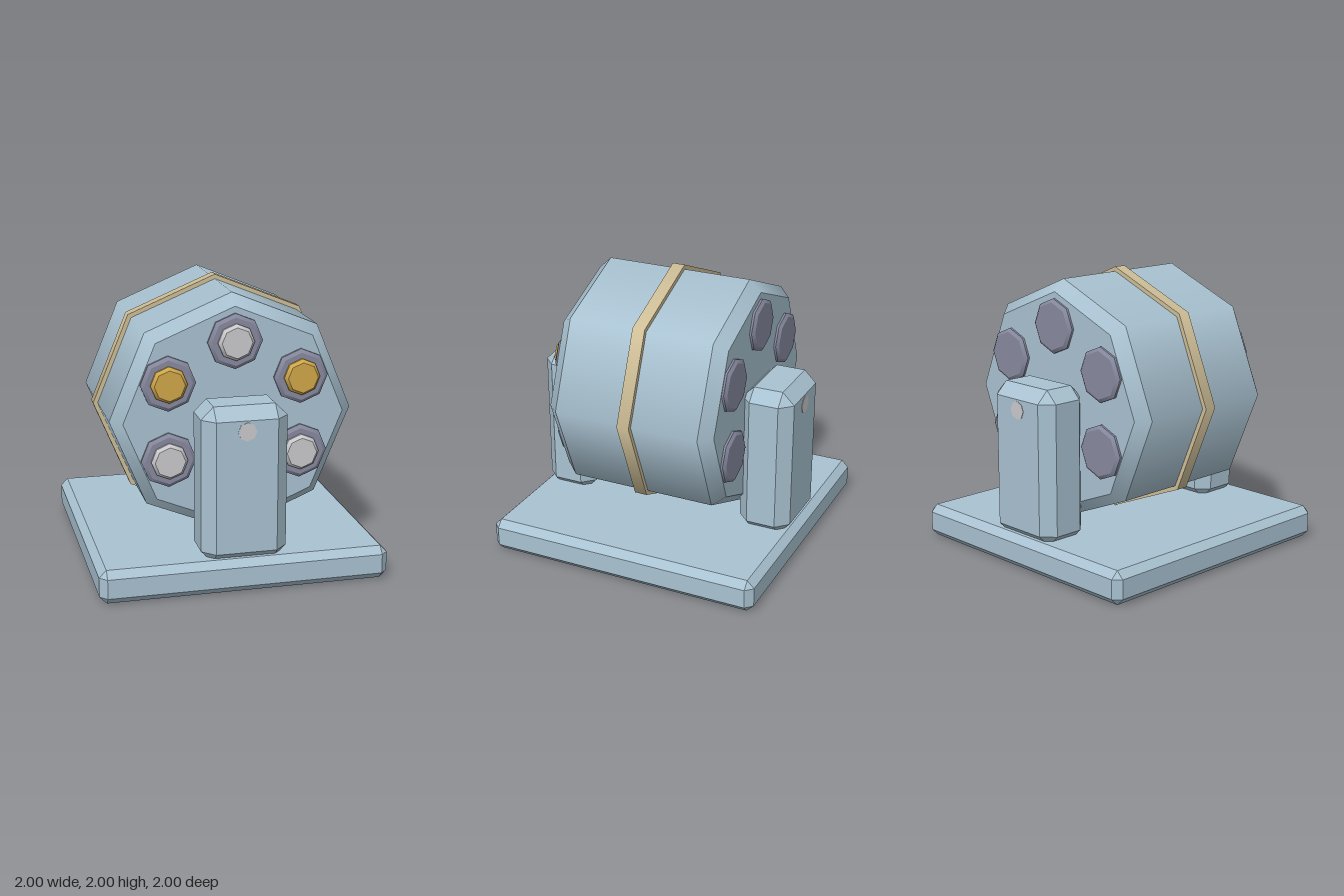
import * as THREE from 'three';
import { ConvexGeometry } from 'three/addons/geometries/ConvexGeometry.js';

const material = (name, color) => {
  const m = new THREE.MeshStandardMaterial({ color });
  m.name = name;
  return m;
};

// Box with every edge cut at 45 degrees, centred on its own origin
function chamferBox(w, h, d, c) {
  const [x, y, z] = [w / 2, h / 2, d / 2];
  const points = [];
  for (const sx of [-1, 1]) for (const sy of [-1, 1]) for (const sz of [-1, 1]) {
    points.push(
      new THREE.Vector3(sx * x, sy * (y - c), sz * (z - c)),
      new THREE.Vector3(sx * (x - c), sy * y, sz * (z - c)),
      new THREE.Vector3(sx * (x - c), sy * (y - c), sz * z));
  }
  return new ConvexGeometry(points);
}

export function createModel() {
  const body = material('paleBlue', 0xa9c2d1);
  const band = material('tan', 0xcfbf98);
  const tube = material('slatePurple', 0x888aa0);
  const silver = material('lightGrey', 0xcacacd);
  const gold = material('gold', 0xd0a84a);

  const model = new THREE.Group();
  model.name = 'rotatingDrum';

  const add = (parent, name, geometry, mat, x = 0, y = 0, z = 0) => {
    const mesh = new THREE.Mesh(geometry, mat);
    mesh.name = name;
    mesh.position.set(x, y, z);
    parent.add(mesh);
    return mesh;
  };

  // Eight-sided section along z, from (z0, r0) to (z1, r1)
  const section = (parent, name, mat, z0, r0, z1, r1, open = false) =>
    add(parent, name,
      new THREE.CylinderGeometry(r1, r0, z1 - z0, 8, 1, open).rotateX(Math.PI / 2),
      mat, 0, 0, (z0 + z1) / 2);

  // Base plate
  add(model, 'base', chamferBox(2, 0.235, 2, 0.05), body, 0, 0.1175, 0);

  // Support posts, front and back
  for (const s of [1, -1]) {
    add(model, s > 0 ? 'frontPost' : 'backPost',
      chamferBox(0.59, 1.09, 0.38, 0.085), body, 0, 0.735, s * 0.772);
  }

  // Drum with bevelled ends, band and axle
  const drum = new THREE.Group();
  drum.name = 'drum';
  drum.position.y = 1.12;
  model.add(drum);
  section(drum, 'drumWall', body, -0.53, 0.845, 0.53, 0.845, true);
  section(drum, 'frontBevel', body, 0.53, 0.845, 0.615, 0.765);
  section(drum, 'backBevel', body, -0.615, 0.765, -0.53, 0.845);
  section(drum, 'band', band, -0.045, 0.877, 0.045, 0.877);
  section(drum, 'axle', silver, -0.965, 0.064, 0.965, 0.064);

  // Six chambers around the axle, each with a capped round at the front
  for (let i = 0; i < 6; i++) {
    const a = Math.PI / 2 + i * Math.PI / 3;
    const chamber = new THREE.Group();
    chamber.name = 'chamber' + (i + 1);
    chamber.position.set(0.53 * Math.cos(a), 0.53 * Math.sin(a), 0);
    drum.add(chamber);
    section(chamber, 'tube', tube, -0.63, 0.19, 0.63, 0.19);
    section(chamber, 'frontRim', tube, 0.63, 0.19, 0.647, 0.165);
    section(chamber, 'backRim', tube, -0.647, 0.165, -0.63, 0.19);
    const metal = i === 1 || i === 5 ? gold : silver;
    section(chamber, 'round', metal, 0.6, 0.126, 0.663, 0.126);
    section(chamber, 'roundTip', metal, 0.663, 0.126, 0.688, 0.105);
  }

  return model;
}
